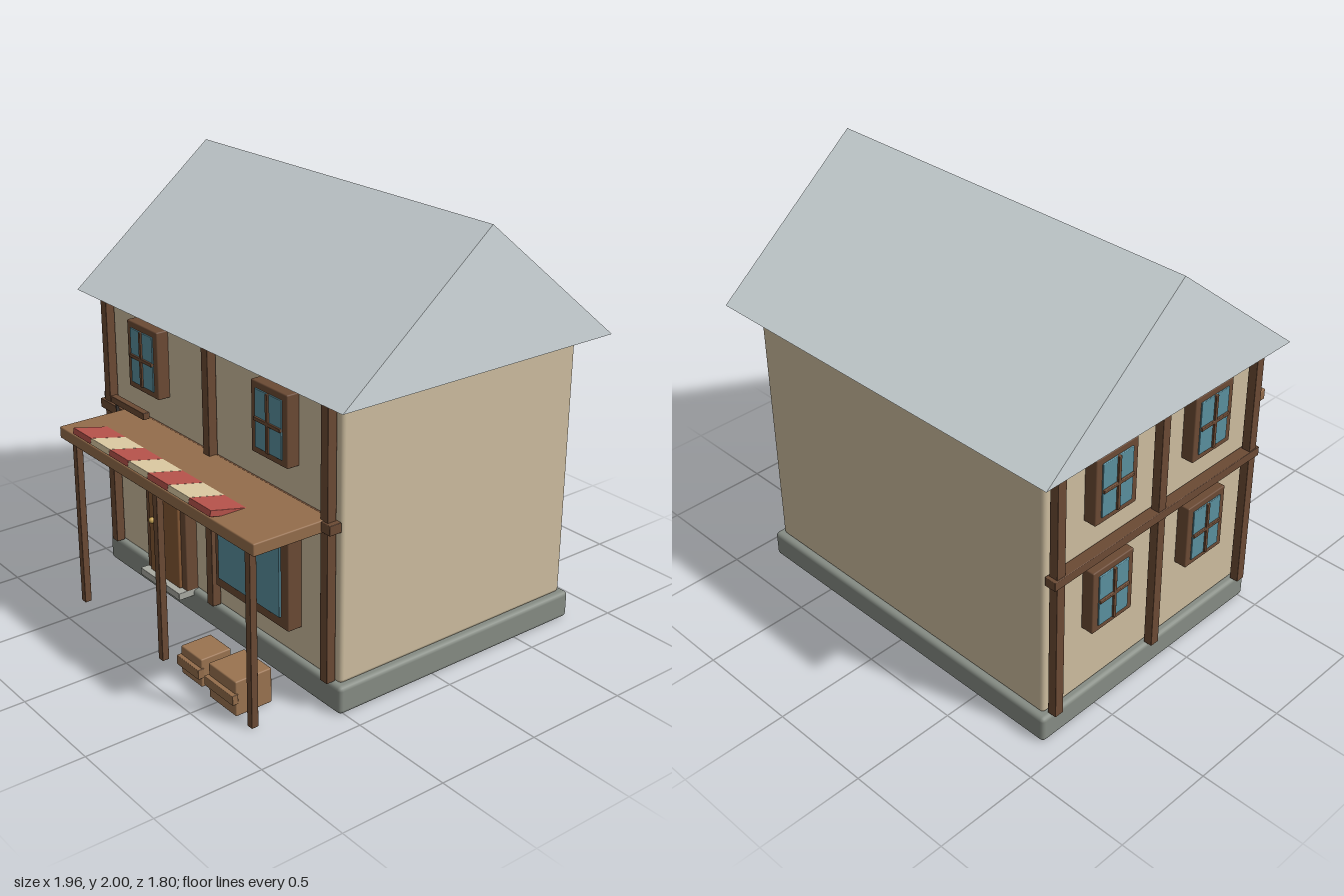
import * as THREE from 'three';
import { RoundedBoxGeometry } from 'three/addons/geometries/RoundedBoxGeometry.js';

const paint = (color) => new THREE.MeshStandardMaterial({ color });
const M = {
  plaster: paint(0xcdbd9f), stone: paint(0x868c84), roof: paint(0xd3dcdf),
  timber: paint(0x6b4a34), canopy: paint(0x946d4b), door: paint(0x835734),
  glass: paint(0x5a8f9e), red: paint(0xb5524a), cream: paint(0xd9c7a0),
  gold: paint(0xc8a455), crate: paint(0x9a7350), step: paint(0xa9aaa2),
  sign: paint(0x96584a), iron: paint(0x4a4440),
};

// Box given by its limits on each axis, with optional rounded edges
function box(parent, name, material, [x0, x1], [y0, y1], [z0, z1], radius = 0.003) {
  const geometry = new RoundedBoxGeometry(x1 - x0, y1 - y0, z1 - z0, 2, radius);
  const mesh = new THREE.Mesh(geometry, material);
  mesh.position.set((x0 + x1) / 2, (y0 + y1) / 2, (z0 + z1) / 2);
  mesh.name = name;
  parent.add(mesh);
  return mesh;
}

const around = (c, width) => [c - width / 2, c + width / 2];

// Four-pane window facing +z, centred on its origin, back against the wall
function paneWindow(name) {
  const g = new THREE.Group();
  g.name = name;
  box(g, 'windowFrame', M.timber, around(0, 0.245), around(0, 0.32), [-0.005, 0.06], 0.006);
  box(g, 'windowGlass', M.glass, around(0, 0.18), around(0, 0.26), [0.03, 0.066]);
  box(g, 'verticalMuntin', M.timber, around(0, 0.017), around(0, 0.26), [0.05, 0.075]);
  box(g, 'horizontalMuntin', M.timber, around(0, 0.18), around(0, 0.017), [0.05, 0.075]);
  return g;
}

function crate(parent, name, x, width, height, z0, z1, bandY) {
  const g = new THREE.Group();
  g.name = name;
  box(g, 'crateBody', M.crate, around(x, width), [0, height], [z0, z1], 0.006);
  box(g, 'crateBand', M.canopy, around(x, width + 0.01), around(bandY, 0.046), [z1 - 0.01, z1 + 0.02]);
  parent.add(g);
}

export function createModel() {
  const house = new THREE.Group();
  house.name = 'shopHouse';

  // Foundation and walls
  box(house, 'foundation', M.stone, [-0.905, 0.9], [0, 0.13], [-0.83, 0.525], 0.02);
  box(house, 'walls', M.plaster, [-0.875, 0.87], [0.125, 1.395], [-0.8, 0.5], 0.02);

  // Gabled roof prism
  const gable = new THREE.Shape([
    new THREE.Vector2(-0.59, 1.39), new THREE.Vector2(0.9, 1.39), new THREE.Vector2(0.155, 2),
  ]);
  const roofGeometry = new THREE.ExtrudeGeometry(gable, { depth: 1.96, bevelEnabled: false });
  roofGeometry.translate(0, 0, -0.98).rotateY(Math.PI / 2);
  const roof = new THREE.Mesh(roofGeometry, M.roof);
  roof.name = 'roof';
  house.add(roof);

  // Timber framing on the front and on the right-hand gable wall
  for (const x of [-0.82, 0, 0.82])
    box(house, 'frontTimber', M.timber, around(x, 0.047), [0.135, 1.39], [0.505, 0.55]);
  box(house, 'frontRail', M.timber, [-0.87, 0.87], around(0.85, 0.045), [0.5, 0.56]);
  for (const z of [-0.76, -0.15, 0.46])
    box(house, 'sideTimber', M.timber, [-0.932, -0.888], [0.135, 1.39], around(z, 0.047));
  box(house, 'sideRail', M.timber, [-0.937, -0.88], around(0.85, 0.045), [-0.8, 0.5]);

  // Windows
  for (const x of [-0.477, 0.473]) {
    const w = paneWindow('upperWindow');
    w.position.set(x, 1.18, 0.5);
    house.add(w);
  }
  for (const y of [0.62, 1.18]) for (const z of [-0.45, 0.15]) {
    const w = paneWindow('sideWindow');
    w.position.set(-0.875, y, z);
    w.rotation.y = -Math.PI / 2;
    house.add(w);
  }

  // Shop window
  box(house, 'shopWindowFrame', M.timber, [0.08, 0.61], [0.28, 0.77], [0.495, 0.57], 0.006);
  box(house, 'shopWindowGlass', M.glass, [0.115, 0.56], [0.33, 0.722], [0.53, 0.58]);
  box(house, 'shopWindowLintel', M.timber, [0.35, 0.595], [0.74, 0.782], [0.495, 0.56]);

  // Door with frame, knob and step
  box(house, 'doorFrame', M.timber, [-0.5, -0.17], [0.13, 0.715], [0.495, 0.56], 0.006);
  box(house, 'door', M.door, [-0.455, -0.21], [0.135, 0.68], [0.52, 0.575], 0.006);
  const knob = new THREE.Mesh(new THREE.SphereGeometry(0.015, 16, 12), M.gold);
  knob.name = 'doorKnob';
  knob.position.set(-0.415, 0.41, 0.585);
  house.add(knob);
  box(house, 'doorStep', M.step, [-0.5, -0.17], [0.1, 0.135], [0.5, 0.605]);

  // Porch canopy on three posts
  box(house, 'canopy', M.canopy, [-0.675, 0.815], [0.82, 0.876], [0.51, 0.892], 0.006);
  for (const x of [-0.595, 0.07, 0.735])
    box(house, 'canopyPost', M.timber, around(x, 0.034), [0, 0.83], [0.832, 0.866]);

  // Striped awning, tilted up towards the street
  const awning = new THREE.Group();
  awning.name = 'awning';
  const stripe = 1.075 / 7;
  for (let i = 0; i < 7; i++) {
    const x = -0.54 + i * stripe;
    box(awning, 'awningStripe', i % 2 ? M.cream : M.red, [x, x + stripe], [-0.014, 0.014], [-0.21, 0.21], 0.002);
  }
  awning.position.set(0, 0.855, 0.693);
  awning.rotation.x = -0.22;
  house.add(awning);

  // Hanging sign
  const sign = new THREE.Group();
  sign.name = 'hangingSign';
  box(sign, 'signBracket', M.timber, [-0.74, -0.455], [0.897, 0.93], [0.548, 0.582]);
  box(sign, 'signHanger', M.iron, around(-0.712, 0.012), [0.78, 0.9], [0.559, 0.571]);
  box(sign, 'signBoard', M.sign, [-0.825, -0.61], [0.6, 0.79], [0.548, 0.584], 0.008);
  box(sign, 'signPlate', M.gold, [-0.762, -0.66], [0.675, 0.72], [0.57, 0.59]);
  house.add(sign);

  // Crates by the porch
  crate(house, 'largeCrate', 0.542, 0.195, 0.165, 0.68, 0.865, 0.085);
  crate(house, 'smallCrate', 0.29, 0.155, 0.135, 0.695, 0.85, 0.07);

  return house;
}
